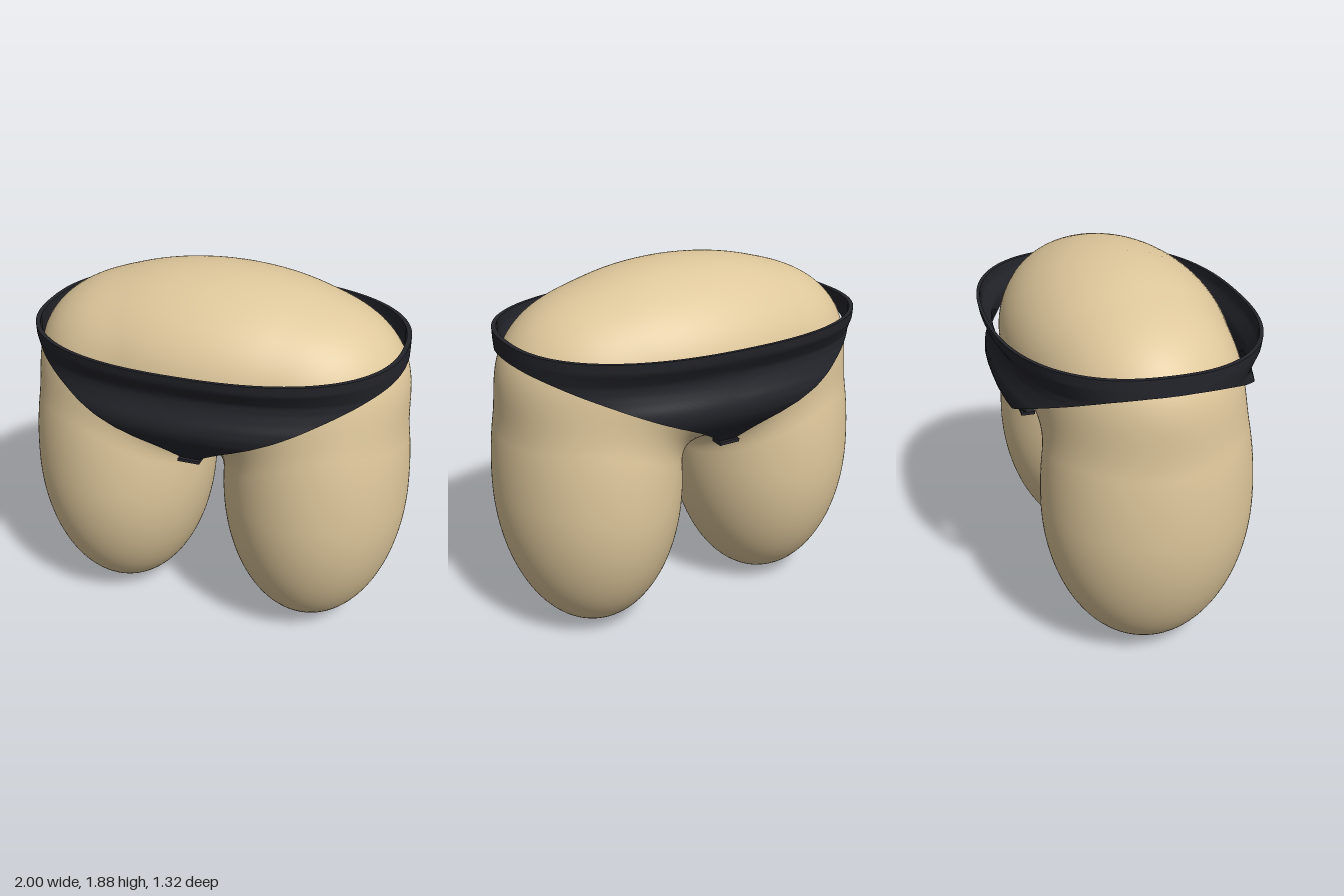
import * as THREE from 'three';
import { toCreasedNormals } from 'three/addons/utils/BufferGeometryUtils.js';

const skin = new THREE.MeshStandardMaterial({ color: 0xdec79b });
const cloth = new THREE.MeshStandardMaterial({ color: 0x24252b, side: THREE.DoubleSide });

// Linear lookup in a list of [key, value] pairs
function lookup(points, key) {
  for (let i = 1; i < points.length; i++) {
    const [k0, v0] = points[i - 1], [k1, v1] = points[i];
    if (key <= k1) return v0 + (v1 - v0) * Math.max(0, (key - k0) / (k1 - k0));
  }
  return points[points.length - 1][1];
}

// Body field: a hip ellipsoid softly joined to two egg-shaped thighs (negative inside)
function field(x, y, z) {
  const hip = (Math.hypot(x / 0.92, (y - 1.425) / 0.46, (z + 0.01) / 0.555) - 1) * 0.46;
  const t = (y - 0.8) / (y < 0.8 ? 0.8 : 1.06);
  const cap = y > 0.8 ? 0.74 * t ** 6 : 0;
  const across = ((Math.abs(x) - 0.525) / 0.475) ** 2 + ((z - 0.02) / 0.525) ** 2;
  const thigh = (Math.sqrt(across + t * t + cap) - 1) * 0.48;
  const k = 0.12, h = Math.max(k - Math.abs(hip - thigh), 0);
  return Math.min(hip, thigh) - h * h / (4 * k);
}

// One half of the body: a sphere whose points are pushed out to the field's surface
function halfBody(side) {
  const geo = new THREE.SphereGeometry(1, 128, 96);
  const pos = geo.attributes.position, nor = geo.attributes.normal;
  const centre = new THREE.Vector3(0.5, 1.0, 0);
  const d = new THREE.Vector3(), p = new THREE.Vector3(), n = new THREE.Vector3();
  const inside = r => {
    p.copy(centre).addScaledVector(d, r);
    return p.x > -0.06 && field(p.x, p.y, p.z) < 0;
  };
  const e = 0.002;
  for (let i = 0; i < pos.count; i++) {
    d.fromBufferAttribute(pos, i).normalize();
    let hi = 0.02;
    while (inside(hi) && hi < 3) hi += 0.02;
    let lo = hi - 0.02;
    for (let s = 0; s < 14; s++) {
      const mid = (lo + hi) / 2;
      if (inside(mid)) lo = mid; else hi = mid;
    }
    p.copy(centre).addScaledVector(d, lo);
    n.set(
      field(p.x + e, p.y, p.z) - field(p.x - e, p.y, p.z),
      field(p.x, p.y + e, p.z) - field(p.x, p.y - e, p.z),
      field(p.x, p.y, p.z + e) - field(p.x, p.y, p.z - e)
    ).normalize();
    pos.setXYZ(i, side * p.x, p.y, p.z);
    nor.setXYZ(i, side * n.x, n.y, n.z);
  }
  // The mirrored half needs its corners in reverse order
  if (side < 0) geo.setIndex(Array.from(geo.index.array).reverse());
  return geo;
}

// Height of the leg opening by distance from the middle
const LOWER_EDGE = [[0, 1.065], [0.05, 1.08], [0.1, 1.12], [0.2, 1.185], [0.3, 1.235],
  [0.45, 1.3], [0.6, 1.365], [0.75, 1.43], [0.88, 1.49], [0.93, 1.51]];
// Depth of the cloth by height along the middle
const DEPTH = [[1.06, 0.47], [1.1, 0.5], [1.15, 0.54], [1.2, 0.585], [1.25, 0.618], [1.3, 0.632],
  [1.34, 0.628], [1.38, 0.613], [1.43, 0.6], [1.47, 0.6], [1.51, 0.625], [1.55, 0.652], [1.6, 0.66]];

// Briefs: a closed strip of cloth round the waist, outer rows going down, inner rows back up
function briefsGeometry() {
  const around = 192, rows = 24, ring = rows * 2 + 2;
  const verts = [], index = [];
  for (let i = 0; i < around; i++) {
    const a = i / around * Math.PI * 2, c = Math.cos(a), s = Math.sin(a);
    const x = 0.935 * Math.sign(c) * Math.abs(c) ** (2 / 2.4);
    const z = Math.sign(s) * Math.abs(s) ** (2 / 2.4);
    const low = lookup(LOWER_EDGE, Math.abs(x));
    for (let j = 0; j < ring; j++) {
      const inner = j > rows;
      const v = (inner ? ring - 1 - j : j) / rows;
      const y = 1.6 + (low - 1.6) * v;
      const k = inner ? 0.975 : 1;
      verts.push(x * k, y, z * lookup(DEPTH, y) * k);
    }
  }
  for (let i = 0; i < around; i++) {
    for (let j = 0; j < ring; j++) {
      const i2 = (i + 1) % around, j2 = (j + 1) % ring;
      const a = i * ring + j, b = i2 * ring + j, c = i * ring + j2, d = i2 * ring + j2;
      index.push(a, b, c, b, d, c);
    }
  }
  const geo = new THREE.BufferGeometry();
  geo.setAttribute('position', new THREE.Float32BufferAttribute(verts, 3));
  geo.setIndex(index);
  return toCreasedNormals(geo, 0.9);
}

export function createModel() {
  const model = new THREE.Group();
  model.name = 'hipForm';
  const add = (name, geo, mat) => {
    const mesh = new THREE.Mesh(geo, mat);
    mesh.name = name;
    model.add(mesh);
    return mesh;
  };

  add('leftBody', halfBody(1), skin);
  add('rightBody', halfBody(-1), skin);
  add('briefs', briefsGeometry(), cloth);

  // Small tabs where the front and back panels end
  for (const side of [1, -1]) {
    const tab = add(side > 0 ? 'frontTab' : 'backTab', new THREE.BoxGeometry(0.11, 0.016, 0.07), cloth);
    tab.position.set(0, 1.07, side * 0.465);
  }
  return model;
}
